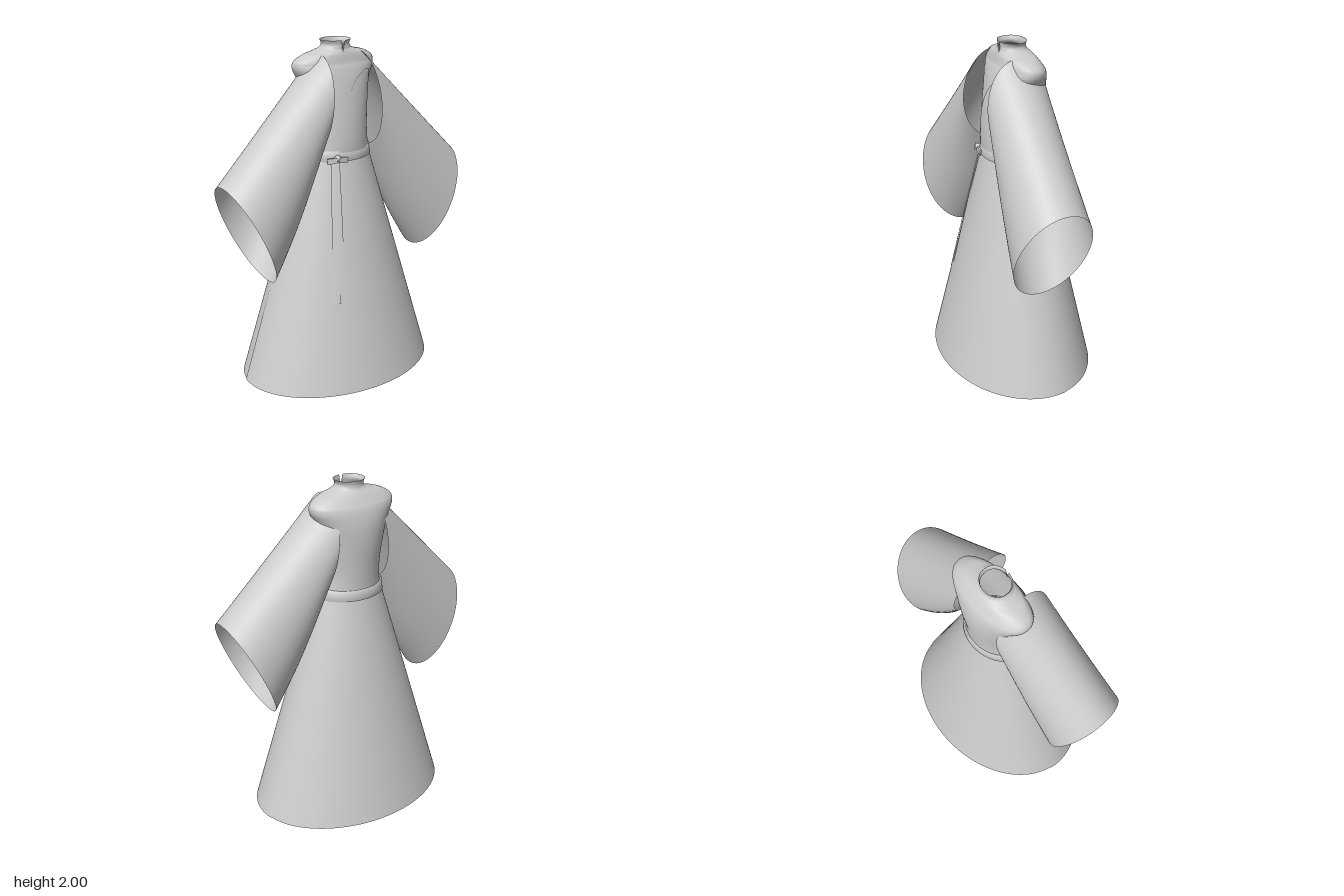
import * as THREE from 'three';
import { ParametricGeometry } from 'three/addons/geometries/ParametricGeometry.js';

const lerp = THREE.MathUtils.lerp;

export function createModel() {
  const root = new THREE.Group();
  const cloth = new THREE.MeshStandardMaterial({ color: 0xcccccc, side: THREE.DoubleSide });
  cloth.name = 'pale grey cloth';

  const add = (name, geometry) => {
    const mesh = new THREE.Mesh(geometry, cloth);
    mesh.name = name;
    root.add(mesh);
    return mesh;
  };
  // A surface from a rule (u, v) => [x, y, z]
  const surface = (name, nu, nv, rule) =>
    add(name, new ParametricGeometry((u, v, p) => p.set(...rule(u, v)), nu, nv));

  // Skirt: front and back panels that overlap at the side seams
  const skirtRx = (y) => lerp(0.62, 0.208, y / 1.34);
  const skirtRz = (y) => lerp(0.457, 0.163, y / 1.34);
  const panel = (name, from, to, scale) => surface(name, 64, 12, (u, v) => {
    const a = lerp(from, to, u), y = v * 1.34;
    return [Math.sin(a) * skirtRx(y) * scale, y, Math.cos(a) * skirtRz(y) * scale];
  });
  panel('skirtFront', -1.73, 1.73, 1);
  panel('skirtBack', 1.62, 2 * Math.PI - 1.62, 0.993);

  // Bodice, shoulders and standing collar: (half width, height, half depth)
  const profile = new THREE.CatmullRomCurve3([
    [0.195, 1.33, 0.16], [0.178, 1.48, 0.166], [0.192, 1.65, 0.167], [0.222, 1.77, 0.156],
    [0.262, 1.85, 0.135], [0.258, 1.885, 0.118], [0.205, 1.92, 0.102], [0.13, 1.94, 0.09],
    [0.092, 1.955, 0.08], [0.08, 1.975, 0.076], [0.09, 2, 0.08],
  ].map((p) => new THREE.Vector3(...p)));
  const centreZ = (y) => y < 1.87
    ? -0.03 * THREE.MathUtils.smoothstep(y, 1.4, 1.87)
    : lerp(-0.03, -0.008, Math.min(1, (y - 1.87) / 0.09));
  const sectionAt = (y) => {
    let lo = 0, hi = 1;
    for (let i = 0; i < 24; i++) {
      const mid = (lo + hi) / 2;
      if (profile.getPoint(mid).y < y) lo = mid; else hi = mid;
    }
    return profile.getPoint(lo);
  };
  surface('bodice', 96, 60, (u, v) => {
    const a = u * 2 * Math.PI, s = profile.getPoint(v);
    const c = Math.cos(a);
    // Small notch at the front of the collar
    const off = Math.min(u, 1 - u) * 96;
    const notch = off < 2 && s.y > 1.94 ? (s.y - 1.94) * (1 - off / 2) : 0;
    return [Math.sin(a) * s.x, s.y - notch, centreZ(s.y) + Math.sign(c) * Math.abs(c) ** 0.9 * s.z];
  });

  // Crossed lapels lying on the chest
  const lapelEdge = new THREE.CatmullRomCurve3([
    [-0.085, 1.38, 0], [-0.072, 1.52, 0], [-0.03, 1.67, 0], [0.05, 1.785, 0], [0.13, 1.83, 0],
  ].map((p) => new THREE.Vector3(...p)));
  const lapel = (name, side, lift) => surface(name, 20, 30, (u, v) => {
    const e = lapelEdge.getPoint(v), s = sectionAt(e.y);
    const x = lerp(e.x, 0.165, side > 0 ? u : 1 - u);
    const c = Math.sqrt(Math.max(0, 1 - (x / s.x) ** 2));
    return [side * x, e.y, centreZ(e.y) + c ** 0.9 * s.z + lift];
  });
  lapel('underLapel', -1, 0.003);
  lapel('overLapel', 1, 0.007);

  // Waist belt
  const belt = [[0.203, 1.328], [0.214, 1.33], [0.21, 1.36], [0.206, 1.39], [0.19, 1.392]];
  const beltGeometry = new THREE.LatheGeometry(belt.map((p) => new THREE.Vector2(...p)), 72);
  beltGeometry.scale(1, 1, 0.81);
  add('belt', beltGeometry);

  // Wide sleeves, from a slanted open armhole to a tall oval cuff
  for (const side of [1, -1]) {
    surface(side > 0 ? 'leftSleeve' : 'rightSleeve', 64, 24, (u, v) => {
      const a = side * u * 2 * Math.PI;
      const bow = Math.sin(v * Math.PI) * 0.025;
      const top = [lerp(0.135, 0.795, v), lerp(1.93, 1.28, v)];
      const low = [lerp(0.195, 0.525, v) - bow * 0.6, lerp(1.375, 0.675, v) - bow];
      const k = (1 + Math.cos(a)) / 2;
      const z = lerp(0.03, 0.065, v) + Math.sin(a) * lerp(0.188, 0.23, v);
      return [side * lerp(low[0], top[0], k), lerp(low[1], top[1], k), z];
    });
  }

  // Ribbon tails following the front of the skirt
  const tail = (name, x0, x1, yEnd, lift) => surface(name, 4, 24, (u, v) => {
    const y = lerp(yEnd, 1.35, v);
    const x = lerp(x1, x0, v) + (u - 0.5) * lerp(0.045, 0.026, v);
    const z = skirtRz(y) * Math.sqrt(1 - (x / skirtRx(y)) ** 2);
    return [x, y + (u - 0.5) * 0.01 * (1 - v), z + lift + 0.006 * v];
  });
  tail('longTail', -0.12, -0.21, 0.53, 0.008);
  tail('shortTail', -0.098, -0.175, 0.585, 0.005);

  // Bow loops and knot
  for (const side of [1, -1]) {
    const loop = add('bowLoop', new THREE.BoxGeometry(0.058, 0.032, 0.012));
    loop.position.set(-0.102 + side * 0.034, 1.342, 0.163 + side * 0.006);
    loop.rotation.set(0, side * 0.22 - 0.3, -side * 0.12);
  }
  const knot = add('knot', new THREE.SphereGeometry(0.018, 20, 14));
  knot.position.set(-0.102, 1.355, 0.162);

  return root;
}
